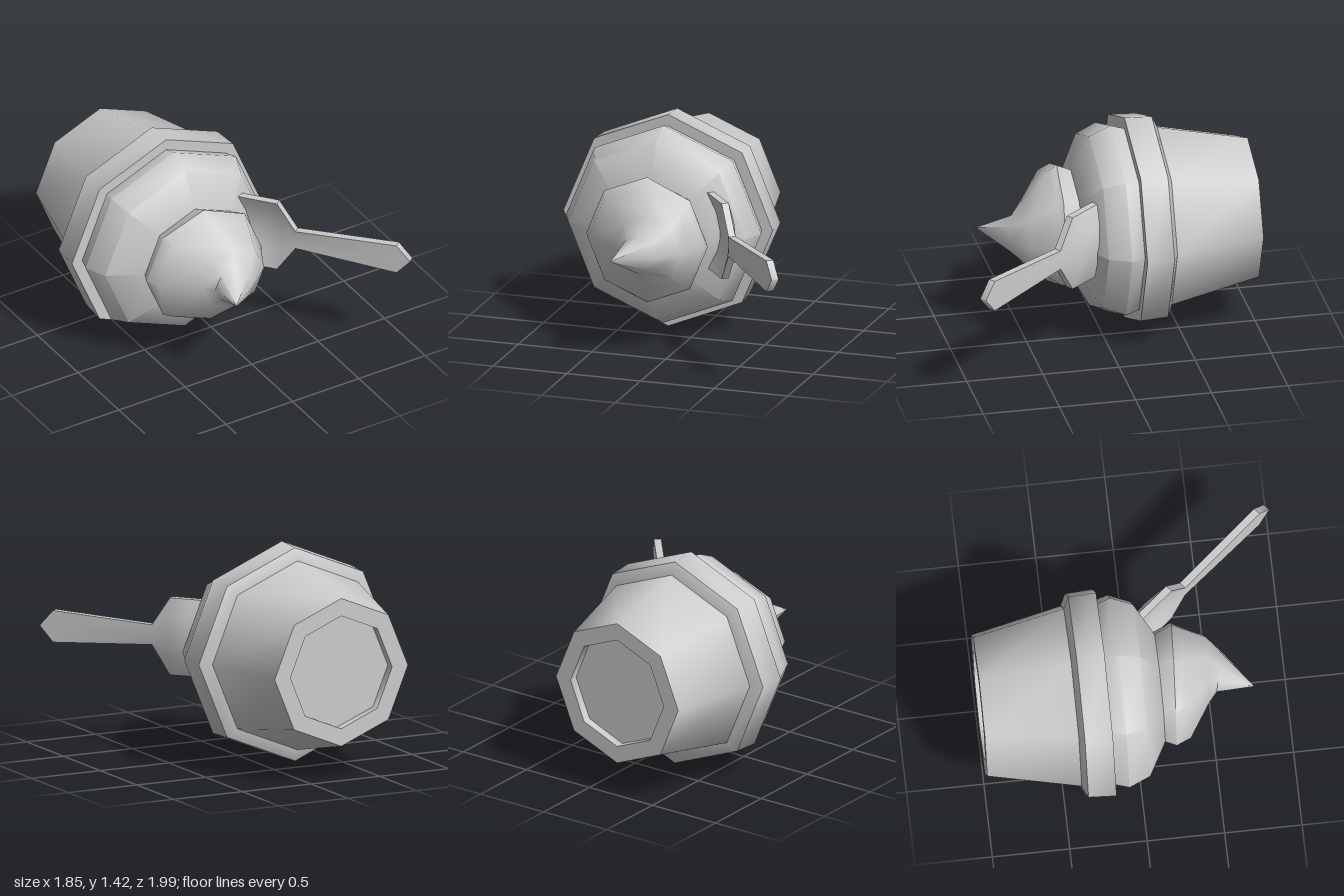
import * as THREE from 'three';
import { toCreasedNormals } from 'three/addons/utils/BufferGeometryUtils.js';

const CX = -0.22, CY = 0.713, CREASE = 0.85;

function addMesh(group, geometry, name) {
  const material = new THREE.MeshStandardMaterial({ color: 0xcccccc });
  const mesh = new THREE.Mesh(toCreasedNormals(geometry, CREASE), material);
  mesh.name = name;
  group.add(mesh);
  return mesh;
}

// Eight-sided turned part along z; profile is [radius, z] from back to front.
function turned(profile) {
  return new THREE.LatheGeometry(profile.map(([r, z]) => new THREE.Vector2(r, z)), 8)
    .rotateX(Math.PI / 2)
    .translate(CX, CY, 0);
}

// Joins equal-length closed rings of points and caps both ends.
function loft(rings) {
  const n = rings[0].length;
  const points = rings.flat();
  const index = [];
  for (let i = 0; i < rings.length - 1; i++) {
    for (let j = 0; j < n; j++) {
      const a = i * n + j, b = i * n + (j + 1) % n;
      index.push(a, b, a + n, b, b + n, a + n);
    }
  }
  for (const end of [0, rings.length - 1]) {
    const centre = new THREE.Vector3();
    rings[end].forEach((p) => centre.addScaledVector(p, 1 / n));
    const c = points.push(centre) - 1;
    for (let j = 0; j < n; j++) {
      const a = end * n + j, b = end * n + (j + 1) % n;
      if (end === 0) index.push(c, b, a);
      else index.push(c, a, b);
    }
  }
  const geometry = new THREE.BufferGeometry().setFromPoints(points);
  geometry.setIndex(index);
  return geometry;
}

export function createModel() {
  const group = new THREE.Group();
  group.name = 'sundaeCup';

  // Cup lying on its side, with recessed base and raised rim
  addMesh(group, turned([
    [0, -0.94], [0.37, -0.94], [0.37, -1], [0.485, -1], [0.62, -0.405],
  ]), 'cup');
  addMesh(group, turned([
    [0.6, -0.405], [0.625, -0.405], [0.7, -0.37], [0.71, -0.19], [0.6, -0.19],
  ]), 'rim');

  // Lower scoop
  addMesh(group, turned([
    [0.63, -0.2], [0.662, -0.1], [0.6, 0.04], [0.37, 0.165], [0, 0.165],
  ]), 'lowerScoop');

  // Upper swirl with curled tip: [centre x, centre y, centre z, radius, tilt]
  const swirl = [
    [-0.22, 0.713, 0.15, 0.37, 0],
    [-0.21, 0.713, 0.257, 0.42, 0.06],
    [-0.2, 0.713, 0.32, 0.388, -0.02],
    [-0.13, 0.71, 0.482, 0.228, 0.04],
    [-0.165, 0.705, 0.565, 0.125, 0.3],
    [-0.279, 0.71, 0.768, 0.003, 0],
  ].map(([x, y, z, r, tilt]) => Array.from({ length: 8 }, (_, j) => {
    const a = j * Math.PI / 4, dx = r * Math.cos(a);
    return new THREE.Vector3(x + dx, y + r * Math.sin(a), z + tilt * dx);
  }));
  addMesh(group, loft(swirl), 'upperSwirl');

  // Spoon: [distance along spoon, half width, bowl depth]
  const along = new THREE.Vector3(0.639, 0, 0.769);
  const across = new THREE.Vector3(0.769, 0, -0.639);
  const start = new THREE.Vector3(0.17, 0.768, 0.095);
  const steps = [-1, -0.5, 0, 0.5, 1];
  const spoon = [
    [-0.12, 0.25, 0.06], [0, 0.253, 0.065], [0.12, 0.253, 0.068], [0.25, 0.253, 0.05],
    [0.375, 0.065, 0], [1.06, 0.104, 0], [1.15, 0.003, 0],
  ].map(([s, half, depth]) => {
    const point = (v, side) => start.clone()
      .addScaledVector(along, s)
      .addScaledVector(across, depth * (1 - v * v) + side * 0.024)
      .add(new THREE.Vector3(0, v * half, 0));
    return [...steps.map((v) => point(v, 1)), ...steps.map((v) => point(-v, -1))];
  });
  addMesh(group, loft(spoon), 'spoon');

  return group;
}
